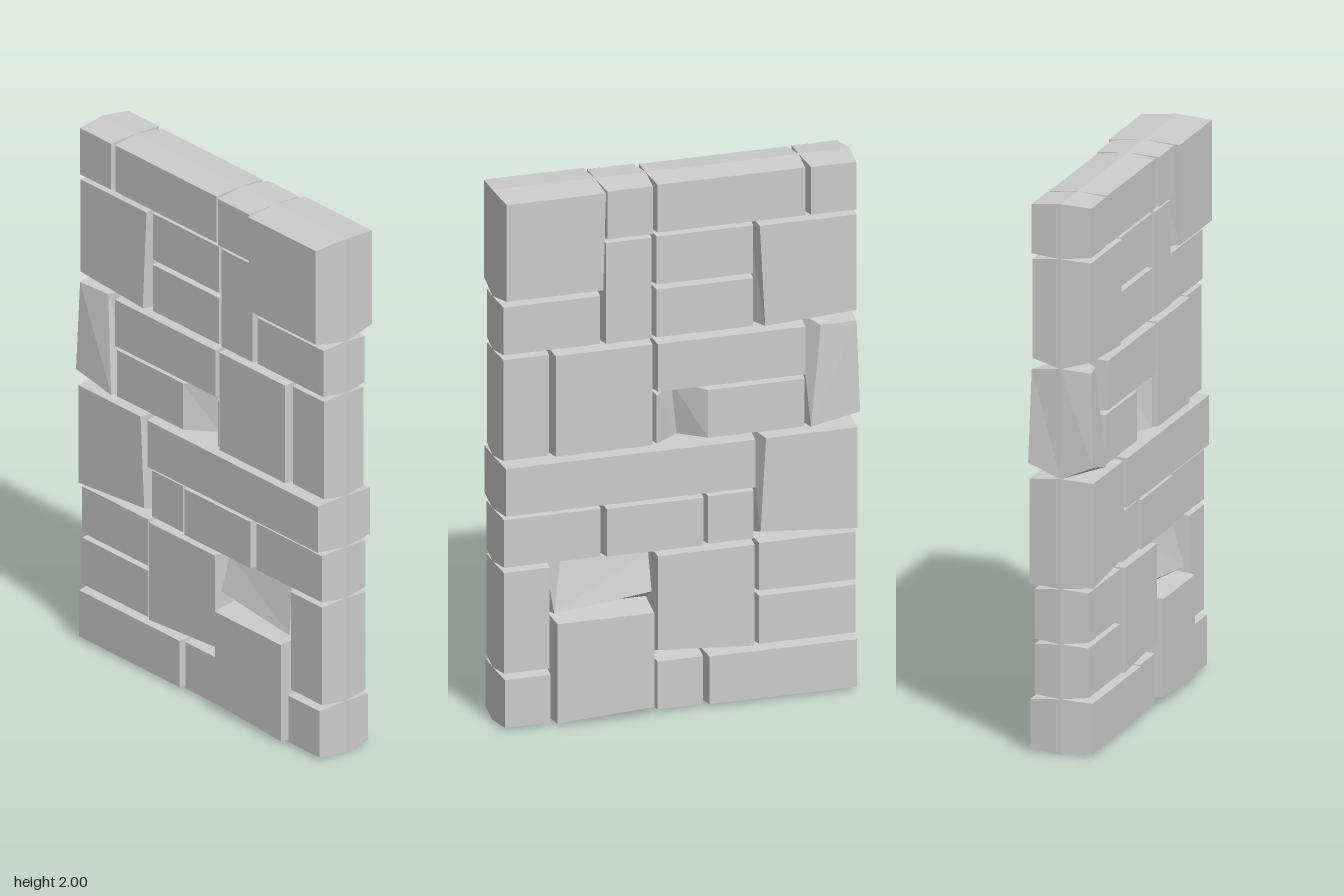
import * as THREE from 'three';

// Elevation of the wall from its +x side: top course first, front (+z) on the left.
// Equal letters make up one stone.
const LAYOUT = [
  'AABCCCD',
  'AAEFFGG',
  'HHEIIGG',
  'JKKLLLM',
  'JKKNOOM',
  'PPPPPQQ',
  'RRSSTQQ',
  'UVVWWXX',
  'UYYWWZZ',
  'aYYbccc',
];
const ROW = 2 / 10;
const COLUMN = 1.32 / 7;
const INSET = 0.01;

// Half thickness of a plain stone, and of those standing out or set back
const DEPTH = 0.1;
const DEPTHS = {
  A: 0.13, B: 0.115, C: 0.107, D: 0.11, F: 0.095, G: 0.108, H: 0.095, I: 0.095,
  J: 0.092, K: 0.11, L: 0.11, N: 0.095, M: 0.11, P: 0.12, Q: 0.118, S: 0.11,
  W: 0.112, Y: 0.13, a: 0.112, b: 0.105, c: 0.115,
};

// Chipped stones: shifts [z, y, depth] of the face corners, in the order
// front bottom, back bottom, back top, front top
const CHIPS = {
  A: [[0, 0.015], [0, 0.015], [-0.01, 0], [0, 0]],
  G: [[-0.02, 0], [0, 0.02], [0, 0], [0, 0]],
  M: [[0, 0], [-0.01, 0.04, 0.01], [0, 0], [-0.045, -0.01, -0.025]],
  N: [[0, 0], [0.165, 0], [0.165, 0], [0, 0]],
  Q: [[0, 0.03], [0, 0], [0, 0], [-0.02, 0]],
  V: [[0, 0, -0.01], [0, 0.045], [0, 0, -0.04], [-0.035, 0, -0.05]],
  W: [[0, 0.025], [0, 0], [0, 0], [0, 0]],
  Y: [[0, 0], [0, 0.02], [0, -0.005], [0, -0.005]],
};

// The stones beside the small hole meet deep inside it: z shifts of their middle outline
const MIDDLES = { N: [0, 0.074, 0.094, 0], O: [0.074, 0, 0, 0.094] };

// Finds the cell rectangle covered by each letter
function findStones() {
  const stones = new Map();
  LAYOUT.forEach((line, row) => [...line].forEach((key, col) => {
    const s = stones.get(key) || { col0: col, row0: row };
    s.col1 = col + 1;
    s.row1 = row + 1;
    stones.set(key, s);
  }));
  return stones;
}

// A stone has a full outline at the wall's middle and an inset face on either side
function stoneGeometry(key, { col0, col1, row0, row1 }) {
  const front = 0.66 - col0 * COLUMN, back = 0.66 - col1 * COLUMN;
  const top = 2 - row0 * ROW, bottom = 2 - row1 * ROW;
  const outline = (inset) => [
    [front - inset, bottom + inset], [back + inset, bottom + inset],
    [back + inset, top - inset], [front - inset, top - inset],
  ];
  const depth = DEPTHS[key] || DEPTH;
  const face = (side) => outline(INSET).map(([z, y], i) => {
    const [dz, dy, dx = 0] = CHIPS[key]?.[i] ?? [0, 0];
    return [side * (depth + dx), y + dy, z + dz];
  });
  const middle = outline(0).map(([z, y], i) => [0, y, z + (MIDDLES[key]?.[i] ?? 0)]);

  const index = [2, 1, 0, 3, 2, 0, 8, 9, 10, 8, 10, 11];
  for (const ring of [0, 4]) {
    for (let i = 0; i < 4; i++) {
      const a = ring + i, b = ring + (i + 1) % 4;
      index.push(a, b, b + 4, a, b + 4, a + 4);
    }
  }
  const points = [...face(-1), ...middle, ...face(1)].flat();
  const geometry = new THREE.BufferGeometry();
  geometry.setAttribute('position', new THREE.Float32BufferAttribute(points, 3));
  geometry.setIndex(index);
  geometry.computeVertexNormals();
  return geometry;
}

export function createModel() {
  const wall = new THREE.Group();
  wall.name = 'stoneWall';
  const material = new THREE.MeshStandardMaterial({ color: 0xcccccc, flatShading: true });
  for (const [key, cells] of findStones()) {
    const stone = new THREE.Mesh(stoneGeometry(key, cells), material);
    stone.name = `stone${wall.children.length + 1}`;
    wall.add(stone);
  }
  return wall;
}
